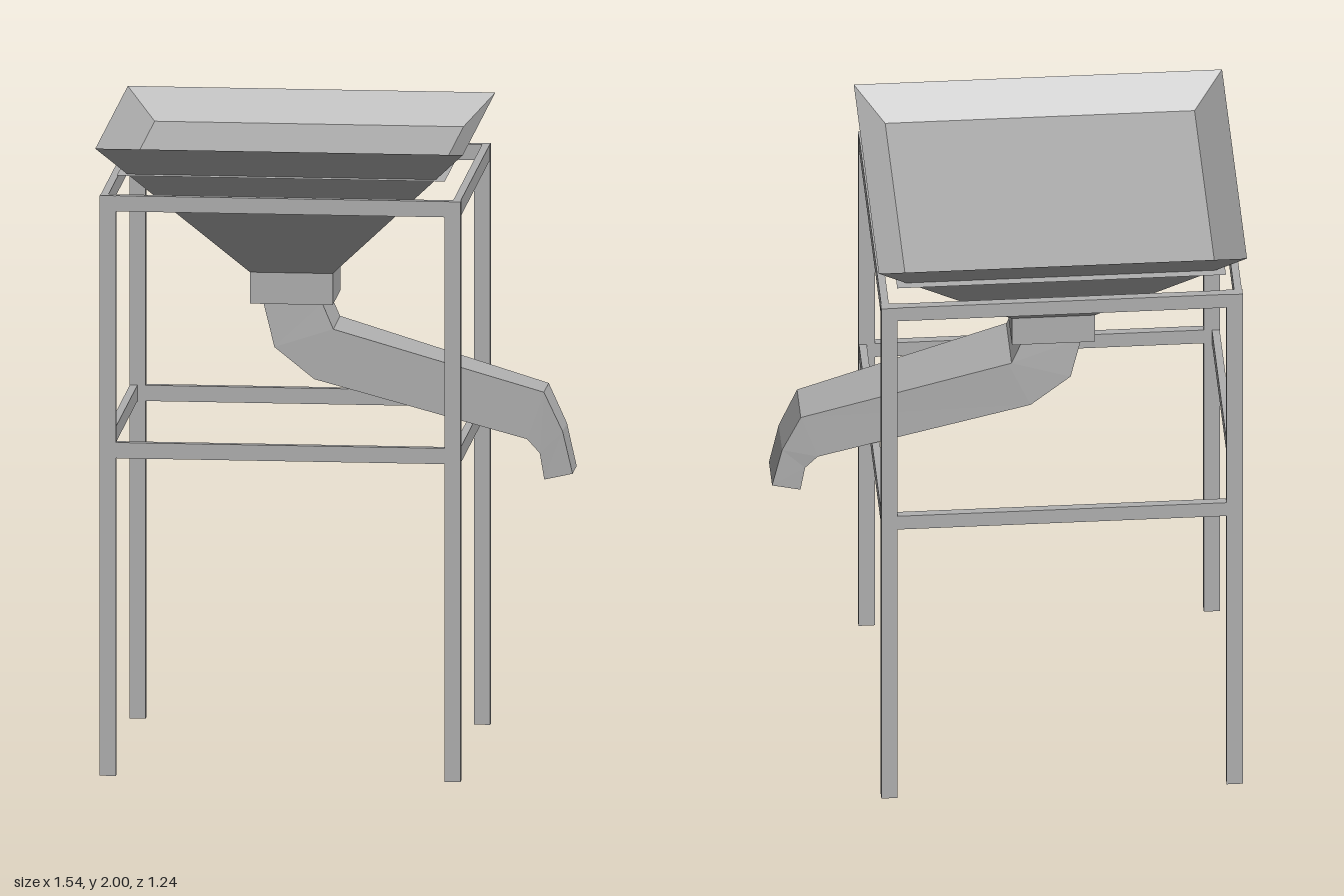
import * as THREE from 'three';

// Skin a run of four-cornered rings (ordered top to bottom), optionally capping the last one
function loft(rings, cap = false) {
  const pos = [];
  const quad = (a, b, c, d) => pos.push(...a, ...b, ...c, ...a, ...c, ...d);
  for (let r = 0; r < rings.length - 1; r++) {
    const up = rings[r], low = rings[r + 1];
    for (let i = 0; i < 4; i++) {
      const j = (i + 1) % 4;
      quad(low[i], low[j], up[j], up[i]);
    }
  }
  if (cap) quad(...[...rings[rings.length - 1]].reverse());
  const g = new THREE.BufferGeometry();
  g.setAttribute('position', new THREE.Float32BufferAttribute(pos, 3));
  g.computeVertexNormals();
  return g;
}

export function createModel() {
  const steel = new THREE.MeshStandardMaterial({ color: 0xb0b0b0, flatShading: true, side: THREE.DoubleSide });
  steel.name = 'grey steel';

  const model = new THREE.Group();
  model.name = 'hopperStand';
  model.position.set(-0.112, 0, 0);
  model.rotation.y = -THREE.MathUtils.degToRad(10);

  const add = (name, geometry, x = 0, y = 0, z = 0) => {
    const mesh = new THREE.Mesh(geometry, steel);
    mesh.name = name;
    mesh.position.set(x, y, z);
    model.add(mesh);
    return mesh;
  };
  const box = (name, w, h, d, x, y, z) => add(name, new THREE.BoxGeometry(w, h, d), x, y, z);

  // Stand: four legs with two levels of rails
  const LX = 0.541, LZ = 0.484, legW = 0.051, legD = 0.028, legH = 1.845;
  for (const sx of [-1, 1]) {
    for (const sz of [-1, 1]) box('leg', legW, legH, legD, sx * LX, legH / 2, sz * LZ);
  }
  for (const y of [1.82, 1.035]) {
    for (const s of [-1, 1]) {
      box('longRail', 2 * LX - legW, 0.05, 0.024, 0, y, s * LZ);
      box('sideRail', 0.024, 0.05, 2 * LZ - legD, s * (LX + 0.012), y, 0);
    }
  }

  // Hopper: open funnel, fill surface and square neck
  const rect = (w, d, y) => [[-w, y, -d], [-w, y, d], [w, y, d], [w, y, -d]];
  add('hopperFunnel', loft([rect(0.577, 0.53, 2), rect(0.13, 0.13, 1.54)]));
  const fill = new THREE.PlaneGeometry(1.03, 0.95);
  fill.rotateX(-Math.PI / 2);
  add('fillSurface', fill, 0, 1.905, 0);
  box('hopperNeck', 0.26, 0.1, 0.26, 0, 1.49, 0);

  // Chute: each section is [lower x, lower y, upper x, upper y, half width]
  const sections = [
    [-0.09, 1.44, 0.095, 1.44, 0.106],
    [-0.055, 1.3, 0.13, 1.36, 0.112],
    [0.07, 1.2, 0.14, 1.357, 0.112],
    [0.735, 1.015, 0.788, 1.165, 0.0785],
    [0.774, 0.97, 0.846, 1.04, 0.071],
    [0.788, 0.885, 0.877, 0.905, 0.066],
  ];
  const rings = sections.map(([bx, by, tx, ty, h]) => [[bx, by, -h], [bx, by, h], [tx, ty, h], [tx, ty, -h]]);
  add('chute', loft(rings, true));

  const root = new THREE.Group();
  root.name = 'hopperWithChute';
  root.add(model);
  return root;
}
